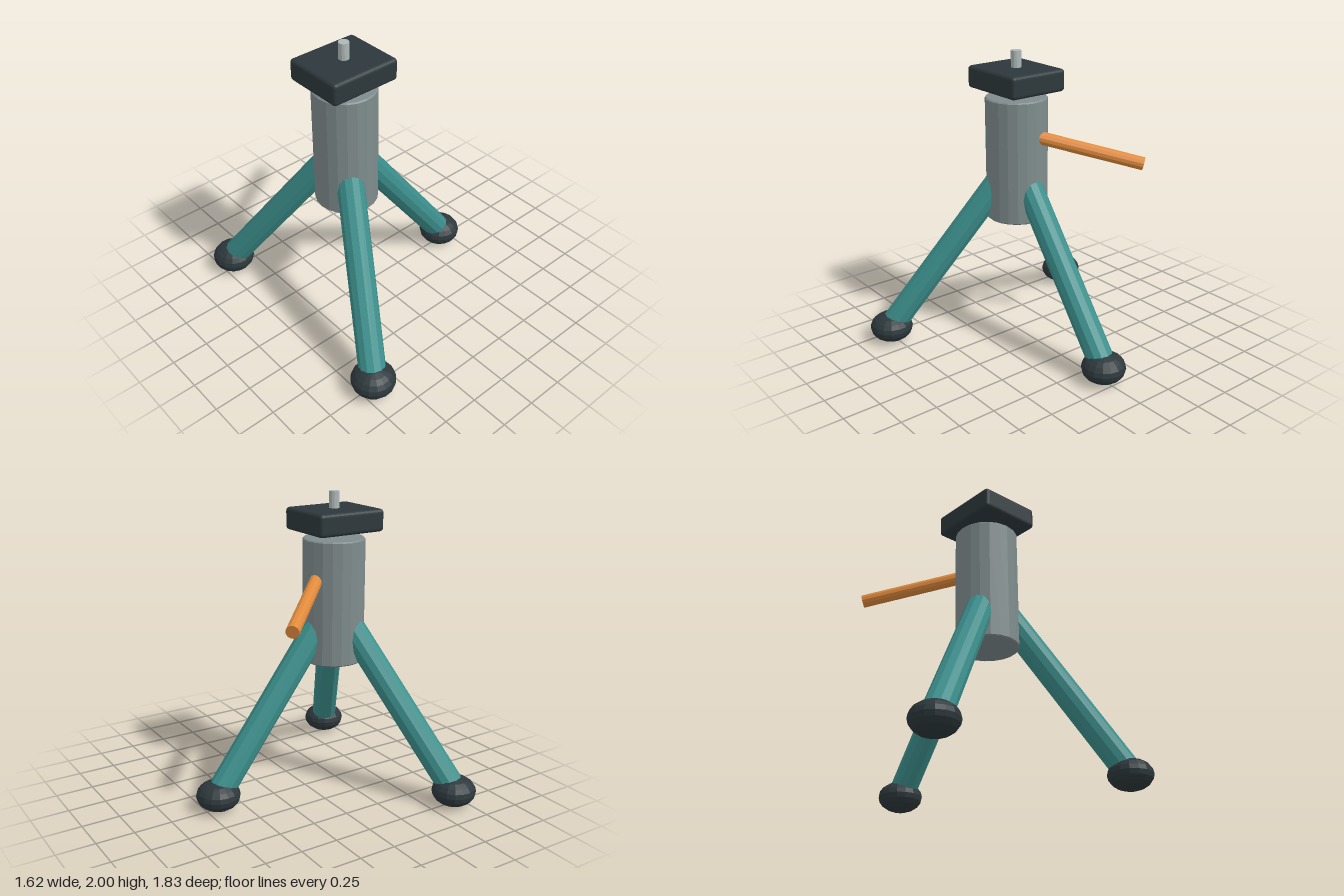
import * as THREE from 'three';
import { RoundedBoxGeometry } from 'three/addons/geometries/RoundedBoxGeometry.js';

const AXIS = -0.2225; // x of the column's centre line
const FOOT_REACH = 0.888;

const paint = (color) => new THREE.MeshStandardMaterial({ color, flatShading: true });
const grey = paint(0x7f8c8d);
const dark = paint(0x2d383c);
const teal = paint(0x3c908d);
const orange = paint(0xe08a3c);
const steel = paint(0xaeb8b8);

function add(parent, name, geometry, material, x = 0, y = 0, z = 0) {
  const mesh = new THREE.Mesh(geometry, material);
  mesh.name = name;
  mesh.position.set(x, y, z);
  parent.add(mesh);
  return mesh;
}

// Straight rod between two points
function rod(parent, name, from, to, radius, sides, material) {
  const dir = to.clone().sub(from);
  const mesh = add(parent, name, new THREE.CylinderGeometry(radius, radius, dir.length(), sides), material);
  mesh.position.copy(from).add(to).multiplyScalar(0.5);
  mesh.quaternion.setFromUnitVectors(new THREE.Vector3(0, 1, 0), dir.normalize());
  return mesh;
}

export function createModel() {
  const model = new THREE.Group();
  model.name = 'tripod';

  // Column with slightly chamfered rims
  const profile = [[0, 0.88], [0.197, 0.88], [0.205, 0.888], [0.205, 1.694], [0.197, 1.702], [0, 1.702]]
    .map(([r, y]) => new THREE.Vector2(r, y));
  add(model, 'column', new THREE.LatheGeometry(profile, 20), grey, AXIS);

  // Mounting plate and screw
  add(model, 'mountingPlate', new RoundedBoxGeometry(0.488, 0.146, 0.424, 3, 0.025), dark, -0.225, 1.818, 0);
  add(model, 'mountingScrew', new THREE.CylinderGeometry(0.034, 0.034, 0.13, 12), steel, AXIS, 1.935, 0);

  // Three splayed legs with flattened ball feet
  for (let i = 0; i < 3; i++) {
    const leg = new THREE.Group();
    leg.name = 'leg' + (i + 1);
    leg.position.x = AXIS;
    leg.rotation.y = (i * Math.PI * 2) / 3;
    rod(leg, 'legTube', new THREE.Vector3(0.11, 1.145, 0), new THREE.Vector3(FOOT_REACH, 0.105, 0), 0.088, 12, teal);
    const foot = add(leg, 'foot', new THREE.SphereGeometry(0.145, 16, 10), dark, FOOT_REACH, 0.101, 0);
    foot.scale.y = 0.1 / 0.145;
    model.add(leg);
  }

  // Pan handle, sloping down and to the back
  rod(model, 'panHandle', new THREE.Vector3(-0.108, 1.468, 0), new THREE.Vector3(0.425, 1.295, -0.533), 0.043, 12, orange);

  return model;
}
